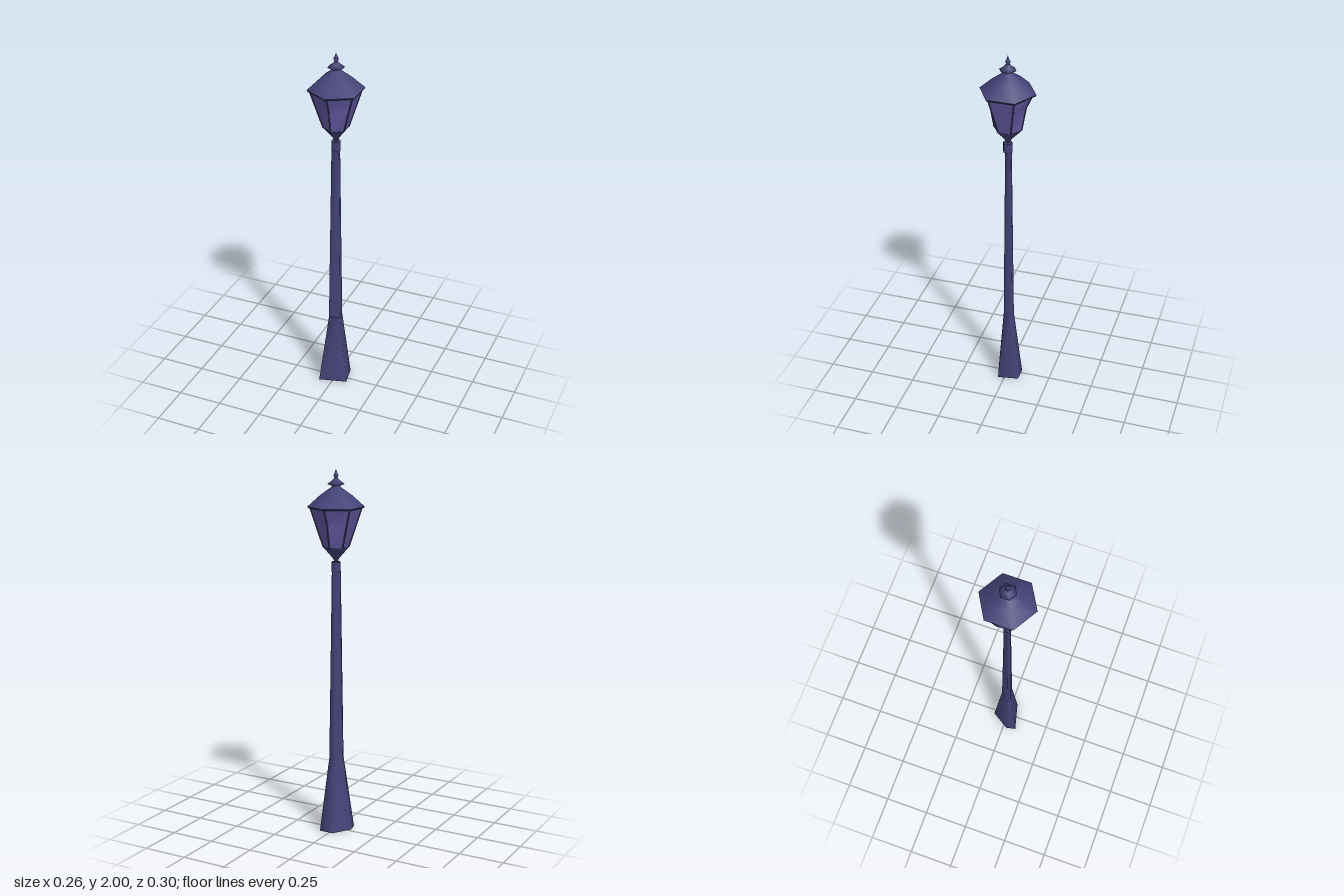
import * as THREE from 'three';

const iron = new THREE.MeshStandardMaterial({ color: 0x444378 });
iron.name = 'indigo iron';
const glass = new THREE.MeshStandardMaterial({ color: 0x6258a0, side: THREE.DoubleSide });
glass.name = 'violet glass';

// Skin a list of rings, each an array of [x, y, z] running counterclockwise from above
function loft(rings, capBottom = false, capTop = false) {
  const n = rings[0].length;
  const position = rings.flat(2);
  const index = [];
  for (let r = 0; r < rings.length - 1; r++) {
    for (let i = 0; i < n; i++) {
      const a = r * n + i, b = r * n + (i + 1) % n;
      index.push(a, b, b + n, a, b + n, a + n);
    }
  }
  const addCap = (ring, up) => {
    const start = position.length / 3;
    position.push(...ring.flat());
    for (let i = 1; i < n - 1; i++) {
      if (up) index.push(start, start + i, start + i + 1);
      else index.push(start, start + i + 1, start + i);
    }
  };
  if (capBottom) addCap(rings[0], false);
  if (capTop) addCap(rings[rings.length - 1], true);
  const geometry = new THREE.BufferGeometry();
  geometry.setAttribute('position', new THREE.Float32BufferAttribute(position, 3));
  geometry.setIndex(index);
  geometry.computeVertexNormals();
  return geometry;
}

// Hexagon with corners on the z axis; zRadius pulls in those two corners
function hexRing(y, radius, zRadius = radius) {
  return Array.from({ length: 6 }, (_, i) => {
    const a = i * Math.PI / 3;
    const r = i % 3 === 0 ? zRadius : radius;
    return [Math.sin(a) * r, y, Math.cos(a) * r];
  });
}

export function createModel() {
  const model = new THREE.Group();
  model.name = 'streetLamp';
  const add = (name, geometry, material = iron) => {
    const mesh = new THREE.Mesh(geometry, material);
    mesh.name = name;
    model.add(mesh);
    return mesh;
  };
  const lathe = (name, profile, sides = 6) =>
    add(name, new THREE.LatheGeometry(profile.map(([r, y]) => new THREE.Vector2(r, y)), sides));

  // Flared foot with an uneven five-sided outline, running into a slim tapered post
  const outline = [[-0.074, 0.075], [0.078, 0.035], [0.058, -0.08], [-0.023, -0.08], [-0.086, 0.02]];
  const footRing = (y, s) => outline.map(([x, z]) => [x * s, y, z * s]);
  add('foot', loft([footRing(0, 1), footRing(0.42, 0.41)], true));
  add('post', loft([footRing(0.42, 0.41), footRing(1.46, 0.25)], false, true));

  // Collar at the head of the post
  add('collar', new THREE.CylinderGeometry(0.025, 0.025, 0.055, 8)).position.y = 1.483;

  // Pointed cup that carries the lantern
  add('cup', loft([hexRing(1.505, 0.006), hexRing(1.53, 0.018), hexRing(1.59, 0.07, 0.076)], true, true));

  // Tapered glass body
  const glassRings = [
    hexRing(1.59, 0.068, 0.074),
    hexRing(1.72, 0.111, 0.097),
    hexRing(1.795, 0.136, 0.13),
  ];
  const panes = loft(glassRings).toNonIndexed();
  panes.computeVertexNormals();
  add('glassPanes', panes, glass);

  // Slim bars along the glass corners
  const up = new THREE.Vector3(0, 1, 0);
  for (let r = 0; r < 2; r++) {
    for (let i = 0; i < 6; i++) {
      const a = new THREE.Vector3(...glassRings[r][i]);
      const b = new THREE.Vector3(...glassRings[r + 1][i]);
      const bar = add('cornerBar', new THREE.CylinderGeometry(0.004, 0.004, a.distanceTo(b), 5, 1, true));
      bar.position.copy(a).lerp(b, 0.5);
      bar.quaternion.setFromUnitVectors(up, b.sub(a).normalize());
    }
  }

  // Hexagonal roof with a thin eave
  lathe('eave', [[0, 1.793], [0.147, 1.795], [0.151, 1.803]]);
  lathe('roof', [[0.151, 1.803], [0.085, 1.862], [0.032, 1.9]]);

  // Neck, flared cap and spiked finial
  lathe('neck', [[0.032, 1.9], [0.022, 1.906], [0.024, 1.916]]);
  lathe('cap', [[0.022, 1.912], [0.046, 1.921], [0.025, 1.936], [0.009, 1.953]]);
  lathe('finial', [[0.008, 1.95], [0.014, 1.967], [0.007, 1.979], [0, 2]], 8);

  return model;
}
